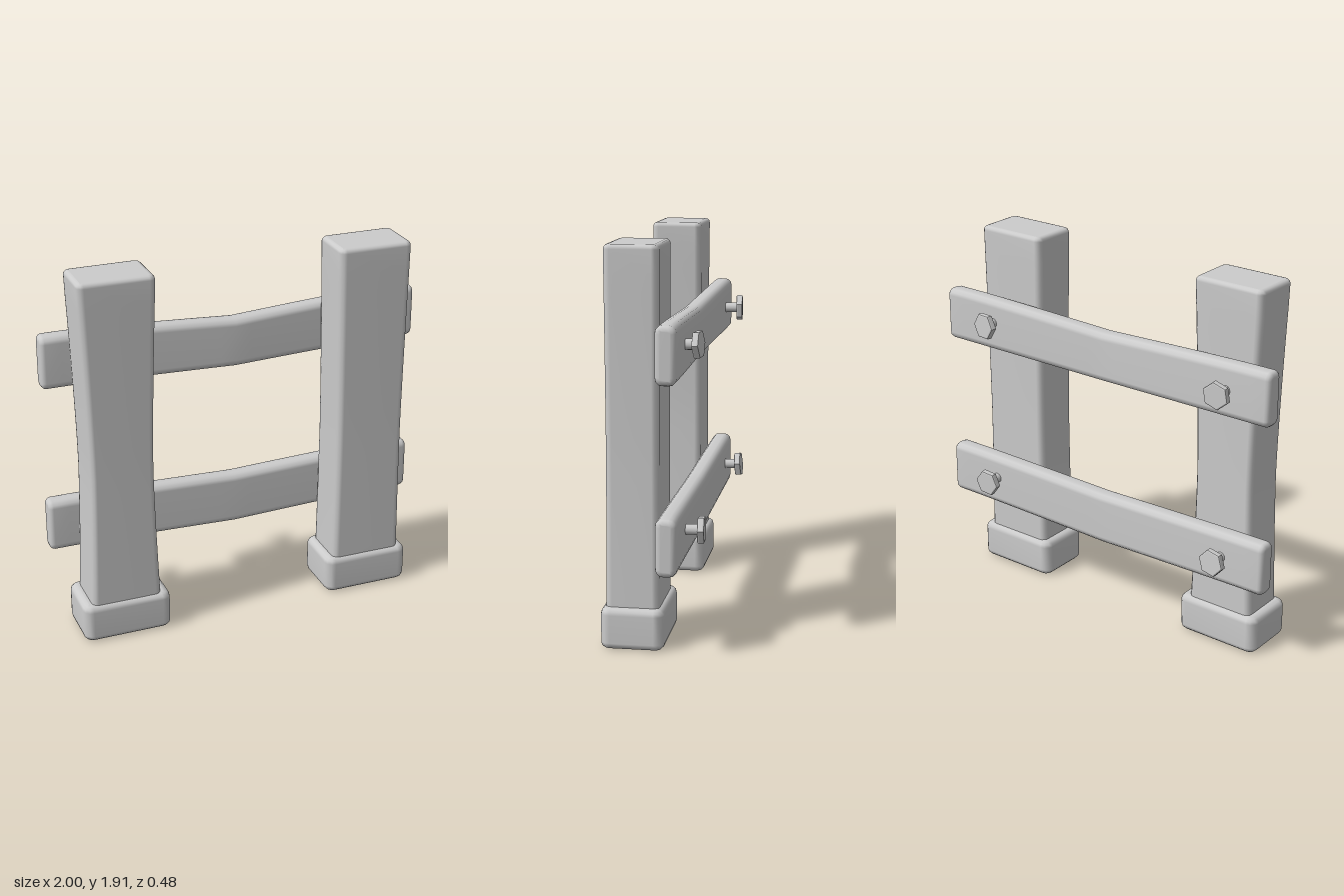
import * as THREE from 'three';
import { mergeVertices } from 'three/addons/utils/BufferGeometryUtils.js';

const material = new THREE.MeshStandardMaterial({ color: 0xcccccc });

// Soft-edged beam centred on the origin, w by h in section, length along z
function beam(w, h, length, r, steps) {
  const x = w / 2 - r, y = h / 2 - r, c = r * 0.6; // c: corner radius of the inner outline
  const s = new THREE.Shape();
  s.moveTo(-x + c, -y);
  s.lineTo(x - c, -y);
  s.quadraticCurveTo(x, -y, x, -y + c);
  s.lineTo(x, y - c);
  s.quadraticCurveTo(x, y, x - c, y);
  s.lineTo(-x + c, y);
  s.quadraticCurveTo(-x, y, -x, y - c);
  s.lineTo(-x, -y + c);
  s.quadraticCurveTo(-x, -y, -x + c, -y);
  const depth = length - 2 * r;
  return new THREE.ExtrudeGeometry(s, {
    depth, steps, curveSegments: 3,
    bevelEnabled: true, bevelSize: r, bevelThickness: r, bevelSegments: 3,
  }).translate(0, 0, -depth / 2);
}

// Moves every vertex by a rule, then welds and smooths the surface
function deform(geometry, rule) {
  const p = geometry.attributes.position, v = new THREE.Vector3();
  for (let i = 0; i < p.count; i++) {
    v.fromBufferAttribute(p, i);
    rule(v);
    p.setXYZ(i, v.x, v.y, v.z);
  }
  geometry.deleteAttribute('normal');
  geometry.deleteAttribute('uv');
  const smooth = mergeVertices(geometry, 1e-4);
  smooth.computeVertexNormals();
  return smooth;
}

function add(parent, name, geometry, x = 0, y = 0, z = 0) {
  const mesh = new THREE.Mesh(geometry, material);
  mesh.name = name;
  mesh.position.set(x, y, z);
  parent.add(mesh);
  return mesh;
}

// Upright post that narrows towards a waist
function postGeometry(waist) {
  const g = beam(0.386, 0.26, 1.81, 0.022, 16).rotateX(-Math.PI / 2);
  return deform(g, (v) => {
    const t = Math.min(1, Math.abs(v.y - (-0.1)) / 0.95);
    const k = 1 - Math.pow(t, 1.4);
    v.x *= 1 - waist * k;
    v.z *= 1 - 0.03 * k;
  });
}

// Horizontal rail sagging and bowing at mid-span
function railGeometry(topSag, bottomSag, bow) {
  const g = beam(0.1, 0.275, 2, 0.024, 24).rotateY(Math.PI / 2);
  return deform(g, (v) => {
    const k = Math.pow(Math.max(0, 1 - Math.abs(v.x) / 0.85), 1.2);
    v.y -= k * (v.y > 0 ? topSag : bottomSag);
    v.z += bow * k;
  });
}

// Hexagonal bolt pointing backwards, with a chamfered head
function bolt(spin, tiltX, tiltY, reach) {
  const g = new THREE.Group();
  g.name = 'bolt';
  const shank = new THREE.CylinderGeometry(0.026, 0.026, reach + 0.04, 12).rotateX(Math.PI / 2);
  add(g, 'boltShank', shank, 0, 0, -reach / 2 + 0.02);
  const hex = new THREE.Shape();
  for (let i = 0; i < 6; i++) {
    const a = (i * Math.PI) / 3;
    hex[i ? 'lineTo' : 'moveTo'](0.062 * Math.cos(a), 0.062 * Math.sin(a));
  }
  hex.closePath();
  const headGeometry = new THREE.ExtrudeGeometry(hex, {
    depth: 0.02, bevelEnabled: true, bevelSize: 0.007, bevelThickness: 0.007, bevelSegments: 2,
  }).translate(0, 0, -0.01);
  const head = add(g, 'boltHead', headGeometry, 0, 0, -reach - 0.01);
  head.rotation.set(tiltX, tiltY, spin);
  return g;
}

export function createModel() {
  const model = new THREE.Group();
  model.name = 'fence';

  // Posts standing in block feet
  for (const [side, x, waist] of [['right', -0.686, 0.16], ['left', 0.647, 0.06]]) {
    add(model, side + 'Post', postGeometry(waist), x, 1.005, 0.09);
    const foot = deform(beam(0.46, 0.305, 0.2, 0.032, 1).rotateX(-Math.PI / 2), () => {});
    add(model, side + 'Foot', foot, x, 0.1, 0.0875);
  }

  // Rails on the back of the posts
  add(model, 'upperRail', railGeometry(0.036, 0.016, 0.026), 0, 1.428, -0.096);
  add(model, 'lowerRail', railGeometry(0.021, 0.021, 0.008), 0, 0.538, -0.096);

  // Bolts: x, y, spin, tilts and reach
  for (const [x, y, spin, tiltX, tiltY, reach] of [
    [-0.76, 1.43, 0.35, 0, 0.1, 0.065],
    [0.69, 1.44, 0, 0.05, -0.12, 0.048],
    [-0.76, 0.55, 0.2, 0.08, 0, 0.065],
    [0.69, 0.555, 0.1, 0, 0.06, 0.065],
  ]) {
    const b = bolt(spin, tiltX, tiltY, reach);
    b.position.set(x, y, -0.144);
    model.add(b);
  }
  return model;
}
